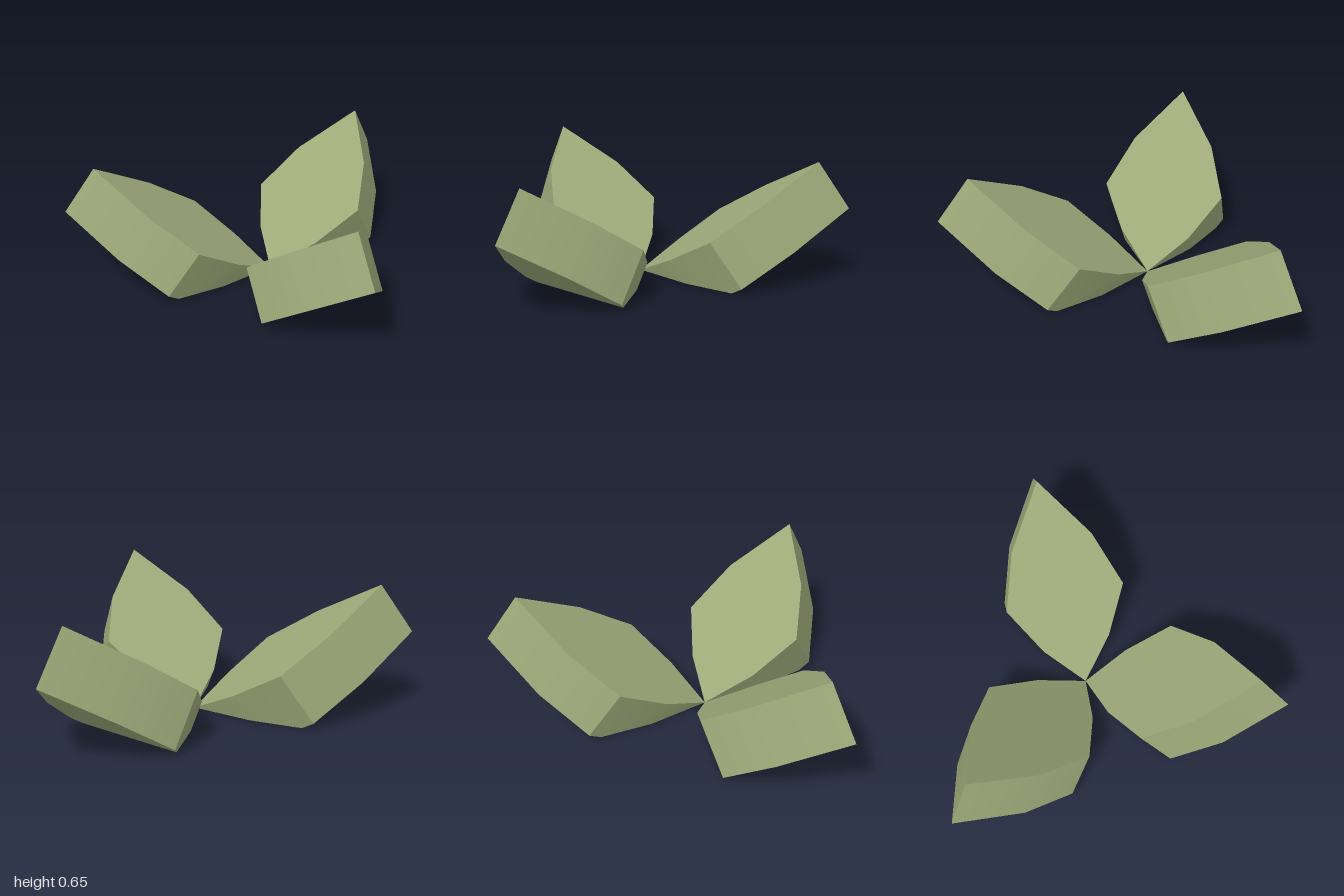
import * as THREE from 'three';
import { ConvexGeometry } from 'three/addons/geometries/ConvexGeometry.js';
import { toCreasedNormals } from 'three/addons/utils/BufferGeometryUtils.js';

const TILT = Math.atan(0.695);
const THICKNESS = 0.298;

// Half outline of a leaf: [half width, distance along the leaf]
const OUTLINE = [[0, 0], [0.189, 0.225], [0.333, 0.493], [0.225, 0.804], [0, 1.145]];

// Tilted point at a distance s along the leaf and depth d below its upper face
function tilted([x, s], d) {
  return new THREE.Vector3(
    x,
    s * Math.sin(TILT) - d * Math.cos(TILT),
    s * Math.cos(TILT) + d * Math.sin(TILT)
  );
}

// Thick leaf slab, tilted up from its base point and cut flat at the ground
function leafGeometry() {
  const upper = OUTLINE.map((p) => tilted(p, 0));
  const lower = OUTLINE.map((p) => tilted(p, THICKNESS));
  const half = [...upper, ...lower.filter((p) => p.y > 0)];

  // Where the edges cross the ground
  const cut = (a, b) => {
    if (a.y > 0.001 === b.y > 0.001 || Math.min(a.y, b.y) > -0.001) return;
    const p = a.clone().lerp(b, a.y / (a.y - b.y));
    p.y = 0;
    half.push(p);
  };
  for (let i = 0; i < OUTLINE.length; i++) {
    cut(upper[i], lower[i]);
    if (i > 0) cut(lower[i - 1], lower[i]);
  }

  // Mirror the half across x
  const points = [];
  for (const p of half) {
    points.push(p);
    if (p.x > 0) points.push(new THREE.Vector3(-p.x, p.y, p.z));
  }
  return toCreasedNormals(new ConvexGeometry(points), 0.8);
}

export function createModel() {
  const model = new THREE.Group();
  model.name = 'leafCluster';
  const leafGreen = new THREE.MeshStandardMaterial({ color: 0x9da878 });
  leafGreen.name = 'leafGreen';

  // Three leaves fanned around one shared base point
  const geometry = leafGeometry();
  const leaves = { frontLeaf: 0, leftLeaf: 120, rightLeaf: -110.8 };
  for (const [name, degrees] of Object.entries(leaves)) {
    const leaf = new THREE.Mesh(geometry, leafGreen);
    leaf.name = name;
    leaf.position.set(0.036, 0, -0.252);
    leaf.rotation.y = THREE.MathUtils.degToRad(degrees);
    model.add(leaf);
  }
  return model;
}
